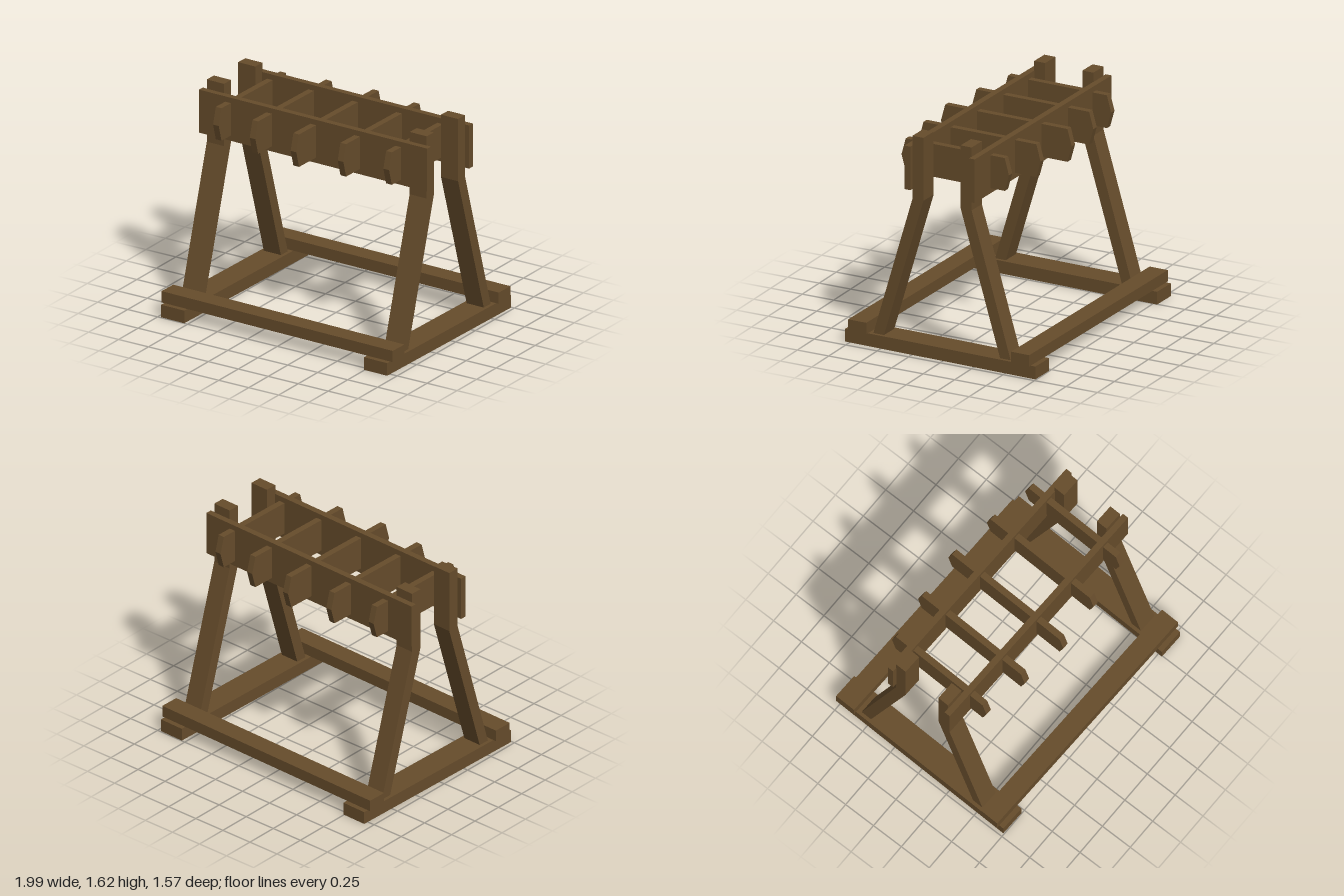
import * as THREE from 'three';

export function createModel() {
  const model = new THREE.Group();
  const rack = new THREE.Group();
  rack.name = 'rack';
  rack.rotation.y = -0.023; // stands slightly askew
  model.add(rack);

  const wood = new THREE.MeshStandardMaterial({ color: 0x664c2b });
  wood.name = 'brown wood';

  const add = (name, geometry, x, y, z) => {
    const mesh = new THREE.Mesh(geometry, wood);
    mesh.name = name;
    mesh.position.set(x, y, z);
    rack.add(mesh);
  };

  // Outline given as [z, y] pairs, extruded along x and centred on it
  const slab = (points, width) => {
    const shape = new THREE.Shape(points.map(([z, y]) => new THREE.Vector2(z, y)));
    return new THREE.ExtrudeGeometry(shape, { depth: width, bevelEnabled: false })
      .translate(0, 0, -width / 2)
      .rotateY(-Math.PI / 2);
  };

  for (const side of [-1, 1]) {
    // Base frame: runners on the floor, beams laid across them
    add('runner', new THREE.BoxGeometry(0.196, 0.095, 1.53), side * 0.86, 0.0475, 0);
    add('crossBeam', new THREE.BoxGeometry(1.96, 0.085, 0.145), 0, 0.1375, side * 0.655);

    // Long planks fixed outside the uprights
    add('plank', new THREE.BoxGeometry(1.934, 0.325, 0.047), 0, 1.3925, side * 0.259);

    // Bent legs: slanted below, upright above
    const leg = [[0.552, 0.095], [0.238, 1.155], [0.238, 1.625],
      [0.15, 1.625], [0.15, 1.155], [0.467, 0.095]].map(([z, y]) => [z * side, y]);
    for (const x of [-0.86, 0.86]) add('leg', slab(leg, 0.145), x, 0, 0);
  }

  // Pointed divider boards passing through both planks
  const dividers = [[-0.722, 0.432], [-0.373, 0.488], [0, 0.526], [0.373, 0.488], [0.722, 0.432]];
  for (const [x, tip] of dividers) {
    const end = tip - 0.034;
    add('divider', slab([[tip, 1.392], [end, 1.515], [-end, 1.515],
      [-tip, 1.392], [-end, 1.27], [end, 1.27]], 0.048), x, 0, 0);
  }

  return model;
}
